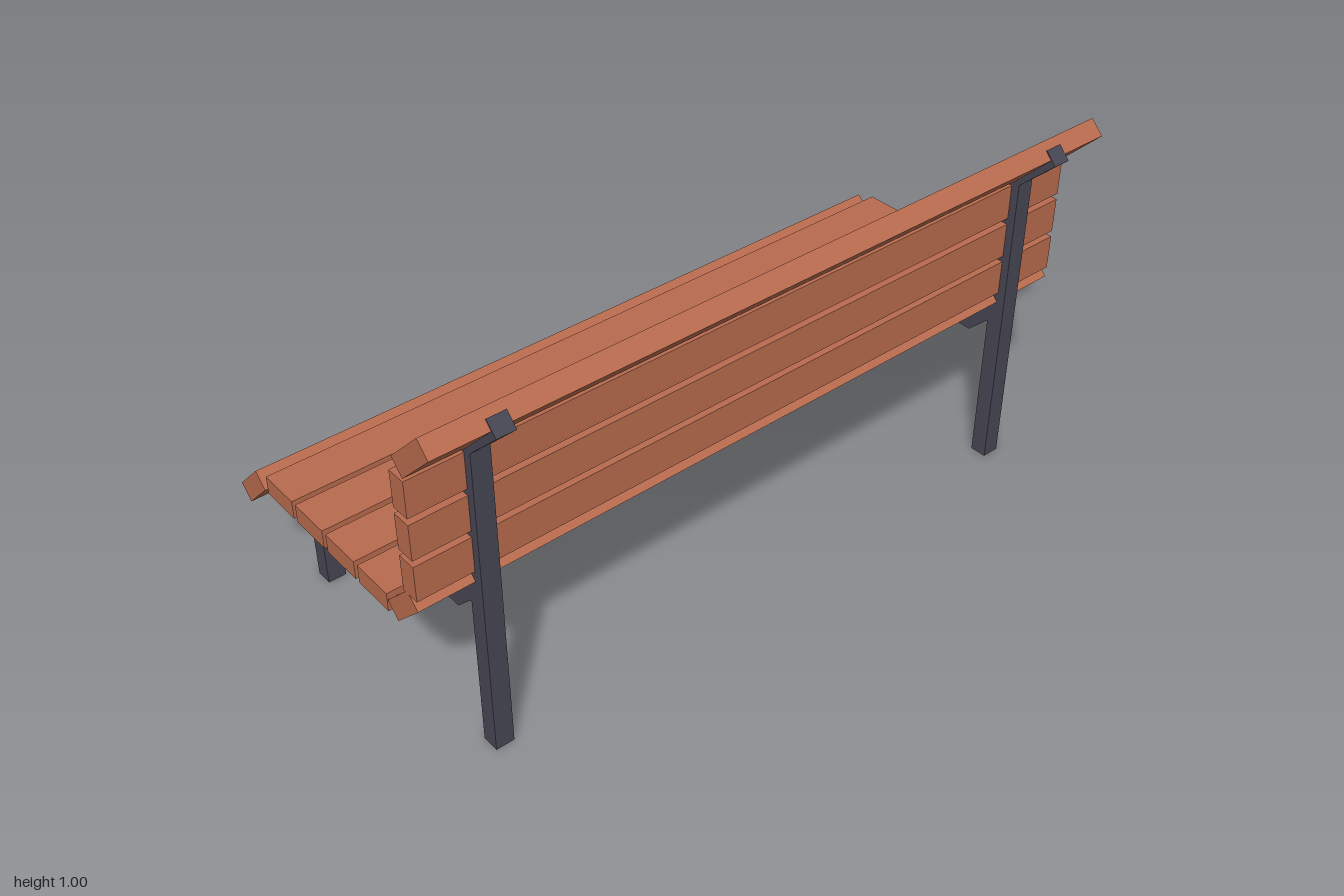
import * as THREE from 'three';

export function createModel() {
  const bench = new THREE.Group();
  bench.name = 'bench';
  const wood = new THREE.MeshStandardMaterial({ color: 0xb86b4e });
  wood.name = 'reddish wood';
  const steel = new THREE.MeshStandardMaterial({ color: 0x474653 });
  steel.name = 'dark steel';

  // Side profiles as [z, y] points, extruded across x
  const post = [[0.357, 0], [0.357, 0.862], [0.457, 0.957], [0.426, 0.99], [0.31, 0.882], [0.31, 0]];
  const seatRail = [
    [0.32, 0.442], [0.253, 0.375], [-0.3, 0.375], [-0.376, 0.295], [-0.376, 0],
    [-0.423, 0], [-0.423, 0.313], [-0.32, 0.418], [0.25, 0.418], [0.32, 0.488],
  ];
  const barWidth = 0.05;
  function addBar(name, points, x) {
    const shape = new THREE.Shape(points.map(([z, y]) => new THREE.Vector2(z, y)));
    const geometry = new THREE.ExtrudeGeometry(shape, { depth: barWidth, bevelEnabled: false });
    geometry.translate(0, 0, -barWidth / 2).rotateY(-Math.PI / 2);
    const mesh = new THREE.Mesh(geometry, steel);
    mesh.name = name;
    mesh.position.x = x;
    bench.add(mesh);
  }
  for (const [side, x] of [['left', 0.83], ['right', -0.83]]) {
    addBar(side + 'BackPost', post, x);
    addBar(side + 'SeatRailAndLeg', seatRail, x);
  }

  // Full-length planks; tilt turns the cross-section about x
  function addSlat(name, y, z, width, tilt = 0) {
    const mesh = new THREE.Mesh(new THREE.BoxGeometry(2, 0.051, width), wood);
    mesh.name = name;
    mesh.position.set(0, y, z);
    mesh.rotation.x = tilt;
    bench.add(mesh);
  }
  for (let i = 0; i < 4; i++) addSlat('seatSlat' + (i + 1), 0.4375, 0.146 - i * 0.133, 0.118);
  for (let i = 0; i < 3; i++) addSlat('backSlat' + (i + 1), 0.579 + i * 0.1128, 0.309, 0.096, Math.PI / 2);
  addSlat('frontEdgeSlat', 0.383, -0.393, 0.131, -Math.PI / 4);
  addSlat('lowerBackSlat', 0.475, 0.271, 0.127, -Math.PI / 4);
  addSlat('headSlat', 0.933, 0.371, 0.152, -Math.PI / 4);

  return bench;
}
